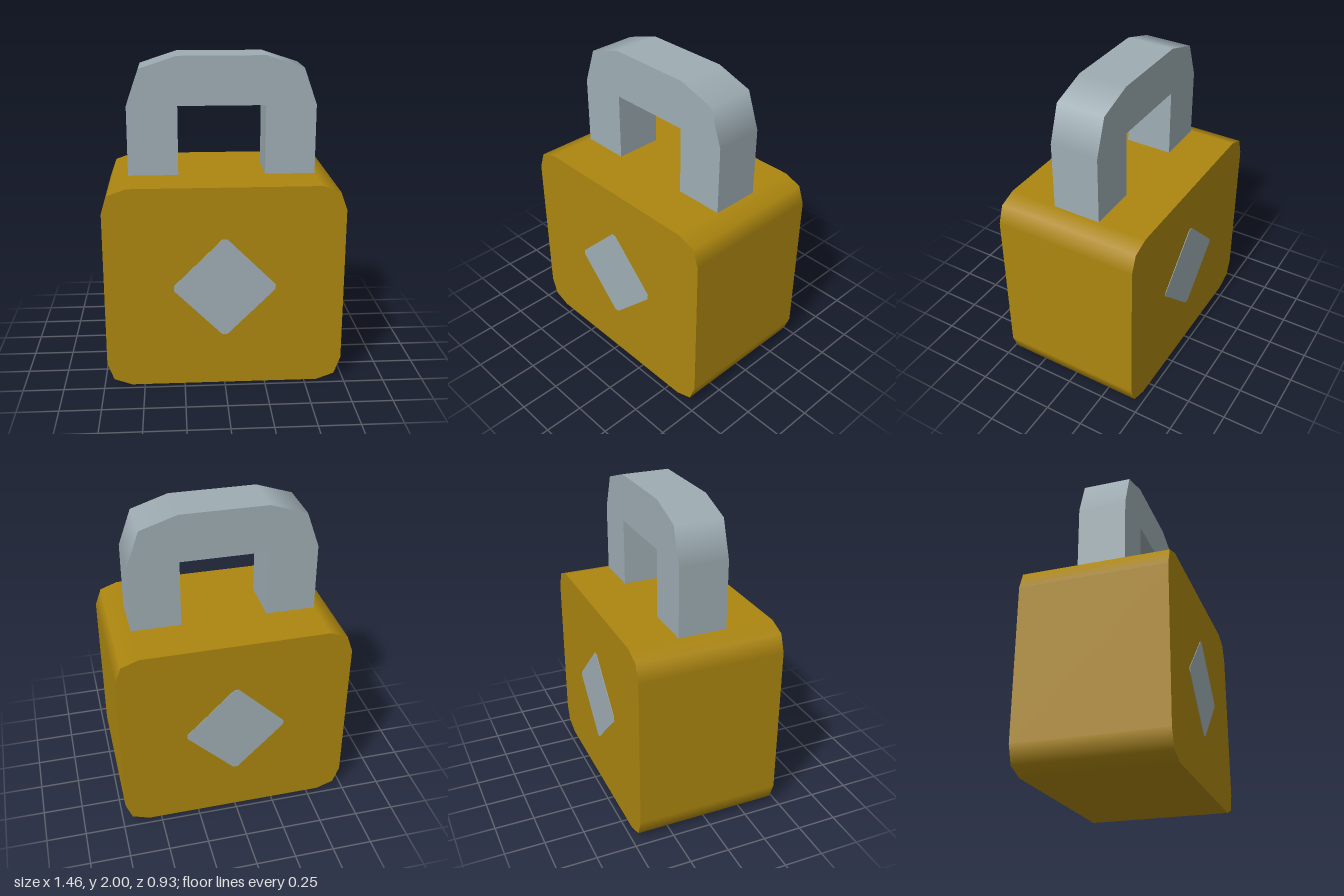
import * as THREE from 'three';

const gold = new THREE.MeshStandardMaterial({ color: 0xac860f });
gold.name = 'gold';
const steel = new THREE.MeshStandardMaterial({ color: 0x9eadb3 });
steel.name = 'steel grey';

const clamp = THREE.MathUtils.clamp;

// Extrude a closed outline along z, centred on z = 0
function slab(points, depth) {
  const shape = new THREE.Shape(points.map(([x, y]) => new THREE.Vector2(x, y)));
  const geometry = new THREE.ExtrudeGeometry(shape, { depth, bevelEnabled: false });
  return geometry.translate(0, 0, -depth / 2);
}

// Shade the side walls as a rounded outline: normals point away from the corner centres
function roundWalls(geometry, halfX, minY, maxY) {
  const { position, normal } = geometry.attributes;
  for (let i = 0; i < position.count; i++) {
    if (Math.abs(normal.getZ(i)) > 0.5) continue;
    const x = position.getX(i), y = position.getY(i);
    const dx = x - clamp(x, -halfX, halfX), dy = y - clamp(y, minY, maxY);
    const length = Math.hypot(dx, dy);
    if (length > 0.05) normal.setXYZ(i, dx / length, dy / length, 0);
  }
  return geometry;
}

function addMesh(group, name, geometry, material) {
  const mesh = new THREE.Mesh(geometry, material);
  mesh.name = name;
  group.add(mesh);
  return mesh;
}

export function createModel() {
  const group = new THREE.Group();
  group.name = 'padlock';

  // Body: a block with two-step corners
  const corner = [[0.58, 0], [0.69, 0.04], [0.73, 0.15]];
  const rightSide = [...corner, ...corner.map(([x, y]) => [x, 1.27 - y]).reverse()];
  const leftSide = rightSide.map(([x, y]) => [-x, y]).reverse();
  const body = slab([...rightSide, ...leftSide], 0.92);
  addMesh(group, 'body', roundWalls(body, 0.58, 0.15, 1.12), gold);

  // Shackle: an arch with a square opening, standing on the body
  const half = [[0.27, 1.27], [0.58, 1.27], [0.58, 1.7], [0.5, 1.925], [0.27, 2]];
  const arch = [...half, ...half.map(([x, y]) => [-x, y]).reverse(), [-0.27, 1.7], [0.27, 1.7]];
  addMesh(group, 'shackle', roundWalls(slab(arch, 0.305), 0.27, 1.2, 1.7), steel);

  // Diamond plates with blunt tips, front and back
  const a = 0.31, b = 0.015;
  const diamond = [[a, -b], [a, b], [b, a], [-b, a], [-a, b], [-a, -b], [-b, -a], [b, -a]];
  for (const [name, z] of [['frontKeyPlate', 0.46], ['backKeyPlate', -0.46]]) {
    addMesh(group, name, slab(diamond, 0.006), steel).position.set(0, 0.64, z);
  }

  return group;
}
